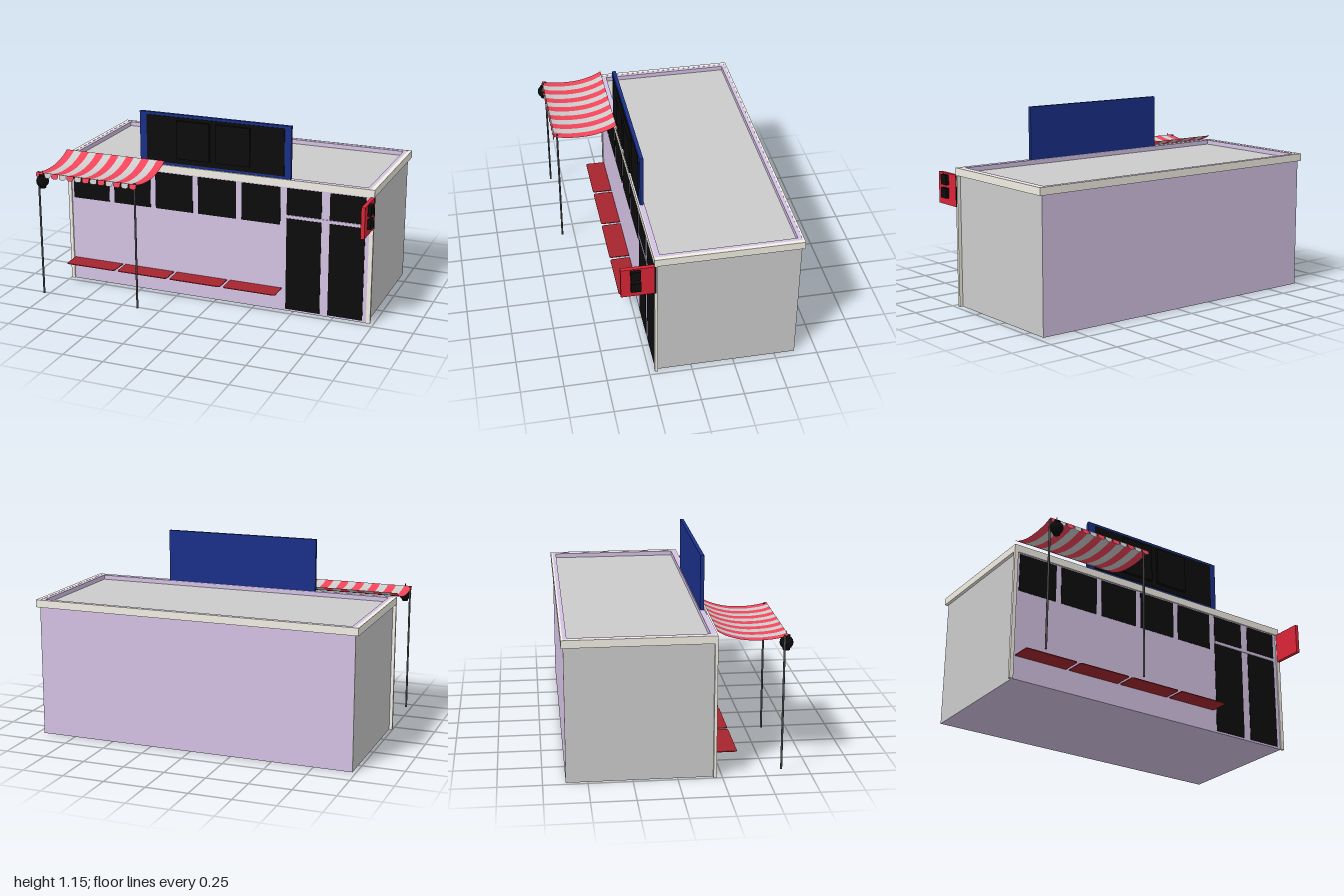
import * as THREE from 'three';

const mat = (color, side = THREE.FrontSide) =>
  new THREE.MeshStandardMaterial({ color, side });

const GREY = mat(0xcccccc);
const LAVENDER = mat(0xd4c2e4);
const CREAM = mat(0xf2eee4);
const BLACK = mat(0x0c0c0c);
const BLUE = mat(0x1a3088);
const RED = mat(0xdc2537);
const BENCH_RED = mat(0xa6252f);
const POLE = mat(0x505050);
const STRIPES = [mat(0xf2445a, THREE.DoubleSide), mat(0xcccccc, THREE.DoubleSide)];

export function createModel() {
  const model = new THREE.Group();
  model.name = 'shop';

  const add = (parent, name, geometry, material) => {
    const mesh = new THREE.Mesh(geometry, material);
    mesh.name = name;
    parent.add(mesh);
    return mesh;
  };
  // Box given by its limits on each axis
  const box = (parent, name, material, x0, x1, y0, y1, z0, z1) => {
    const mesh = add(parent, name, new THREE.BoxGeometry(x1 - x0, y1 - y0, z1 - z0), material);
    mesh.position.set((x0 + x1) / 2, (y0 + y1) / 2, (z0 + z1) / 2);
    return mesh;
  };
  // Rectangular frame lying flat, with a hole through it
  const flatFrame = (name, material, outer, inner, y0, y1) => {
    const points = ([x0, x1, z0, z1]) =>
      [[x0, -z1], [x1, -z1], [x1, -z0], [x0, -z0]].map(p => new THREE.Vector2(...p));
    const shape = new THREE.Shape(points(outer));
    shape.holes.push(new THREE.Path(points(inner).reverse()));
    const geometry = new THREE.ExtrudeGeometry(shape, { depth: y1 - y0, bevelEnabled: false });
    geometry.rotateX(-Math.PI / 2);
    geometry.translate(0, y0, 0);
    return add(model, name, geometry, material);
  };

  // Walls, recessed roof and parapet
  const L = -0.975, R = 0.955, BACK = -0.622, FRONT = 0.21;
  box(model, 'walls', LAVENDER, L, R, 0, 0.795, BACK, FRONT);
  box(model, 'leftSideWall', GREY, R, R + 0.004, 0, 0.795, BACK, FRONT);
  box(model, 'rightSideWall', GREY, L - 0.004, L, 0, 0.795, BACK, FRONT);
  box(model, 'roof', GREY, L + 0.01, R - 0.01, 0.795, 0.802, BACK + 0.01, FRONT - 0.01);
  flatFrame('parapet', LAVENDER, [L, R, BACK, FRONT],
    [L + 0.022, R - 0.022, BACK + 0.022, FRONT - 0.03], 0.795, 0.829);
  flatFrame('roofTrim', CREAM, [-0.998, 0.98, -0.634, 0.217], [L, R, BACK, FRONT], 0.785, 0.83);

  // Corner posts at the front
  box(model, 'rightCornerPost', CREAM, -0.998, L, 0, 0.785, 0.2, 0.217);
  box(model, 'leftCornerPost', CREAM, R, 0.98, 0, 0.785, 0.2, 0.217);

  // Windows and doors
  for (let i = 0; i < 5; i++) {
    const x = -0.96 + i * 0.281;
    box(model, 'window', BLACK, x, x + 0.246, 0.545, 0.778, 0.205, 0.213);
  }
  for (const x of [0.45, 0.715]) {
    box(model, 'door', BLACK, x, x + 0.215, 0.012, 0.59, 0.205, 0.213);
    box(model, 'transomWindow', BLACK, x, x + 0.215, 0.613, 0.778, 0.205, 0.213);
  }
  box(model, 'transomBar', LAVENDER, 0.45, 0.93, 0.592, 0.611, 0.205, 0.214);

  // Row of thin wall benches with rounded front corners
  for (let i = 0; i < 4; i++) {
    const w = 0.333, d = 0.123, r = 0.015;
    const seat = new THREE.Shape();
    seat.moveTo(0, 0);
    seat.lineTo(w, 0);
    seat.lineTo(w, d - r);
    seat.quadraticCurveTo(w, d, w - r, d);
    seat.lineTo(r, d);
    seat.quadraticCurveTo(0, d, 0, d - r);
    seat.closePath();
    const geometry = new THREE.ExtrudeGeometry(seat, { depth: 0.005, bevelEnabled: false });
    geometry.rotateX(Math.PI / 2);
    add(model, 'bench', geometry, BENCH_RED).position.set(-0.967 + i * 0.353, 0.144, 0.212);
  }

  // Large roof sign with plain raised plates
  const roofSign = new THREE.Group();
  roofSign.name = 'roofSign';
  model.add(roofSign);
  box(roofSign, 'signBoard', BLUE, -0.495, 0.47, 0.828, 1.15, 0.185, 0.207);
  box(roofSign, 'signFace', BLACK, -0.45, 0.43, 0.845, 1.135, 0.2, 0.21);
  for (const x of [-0.25, 0.005])
    box(roofSign, 'signPlate', BLACK, x, x + 0.213, 0.88, 1.115, 0.208, 0.225);

  // Hanging side sign
  const sideSign = new THREE.Group();
  sideSign.name = 'sideSign';
  model.add(sideSign);
  box(sideSign, 'sideSignBoard', RED, 0.957, 0.98, 0.597, 0.785, 0.217, 0.406);
  box(sideSign, 'sideSignBracket', BLACK, 0.957, 0.982, 0.597, 0.785, 0.207, 0.218);
  for (const y of [0.638, 0.717])
    box(sideSign, 'sideSignPlate', BLACK, 0.978, 1, y, y + 0.06, 0.295, 0.352);

  // Sagging striped awning with a scalloped valance
  const awning = new THREE.Group();
  awning.name = 'awning';
  model.add(awning);
  const sag = new THREE.SplineCurve([
    [0.212, 0.853], [0.27, 0.825], [0.36, 0.802], [0.46, 0.797], [0.55, 0.806], [0.6, 0.82],
  ].map(p => new THREE.Vector2(...p))).getPoints(14);
  const COUNT = 13, X0 = -1, STEP = 0.666 / COUNT;
  for (let i = 0; i < COUNT; i++) {
    const strip = new THREE.PlaneGeometry(STEP, 1, 1, sag.length - 1);
    const pos = strip.attributes.position;
    for (let v = 0; v < pos.count; v++) {
      const p = sag[Math.floor(v / 2)];
      pos.setXYZ(v, X0 + (i + v % 2) * STEP, p.y, p.x);
    }
    strip.computeVertexNormals();
    add(awning, 'awningStripe', strip, STRIPES[i % 2]);

    const flap = new THREE.Shape();
    flap.moveTo(0.003, 0);
    flap.lineTo(0.003, -0.018);
    flap.quadraticCurveTo(0.004, -0.032, STEP / 2, -0.032);
    flap.quadraticCurveTo(STEP - 0.004, -0.032, STEP - 0.003, -0.018);
    flap.lineTo(STEP - 0.003, 0);
    const scallop = add(awning, 'awningScallop', new THREE.ShapeGeometry(flap, 5), STRIPES[i % 2]);
    scallop.position.set(X0 + i * STEP, 0.82, 0.6);
    scallop.rotation.x = -0.25;
  }

  // Awning poles
  for (const x of [-0.992, -0.358])
    add(awning, 'awningPole', new THREE.CylinderGeometry(0.006, 0.006, 0.785, 12), POLE)
      .position.set(x, 0.4275, 0.582);

  // Round lantern hanging at the awning corner
  const lantern = new THREE.Group();
  lantern.name = 'lantern';
  lantern.position.set(-0.958, 0.768, 0.598);
  model.add(lantern);
  add(lantern, 'lanternGlobe', new THREE.SphereGeometry(0.038, 16, 12), BLACK);
  add(lantern, 'lanternRims', new THREE.CylinderGeometry(0.02, 0.02, 0.084, 12), BLACK);
  add(lantern, 'lanternHook', new THREE.CylinderGeometry(0.002, 0.002, 0.03, 6), BLACK)
    .position.y = 0.05;

  return model;
}
